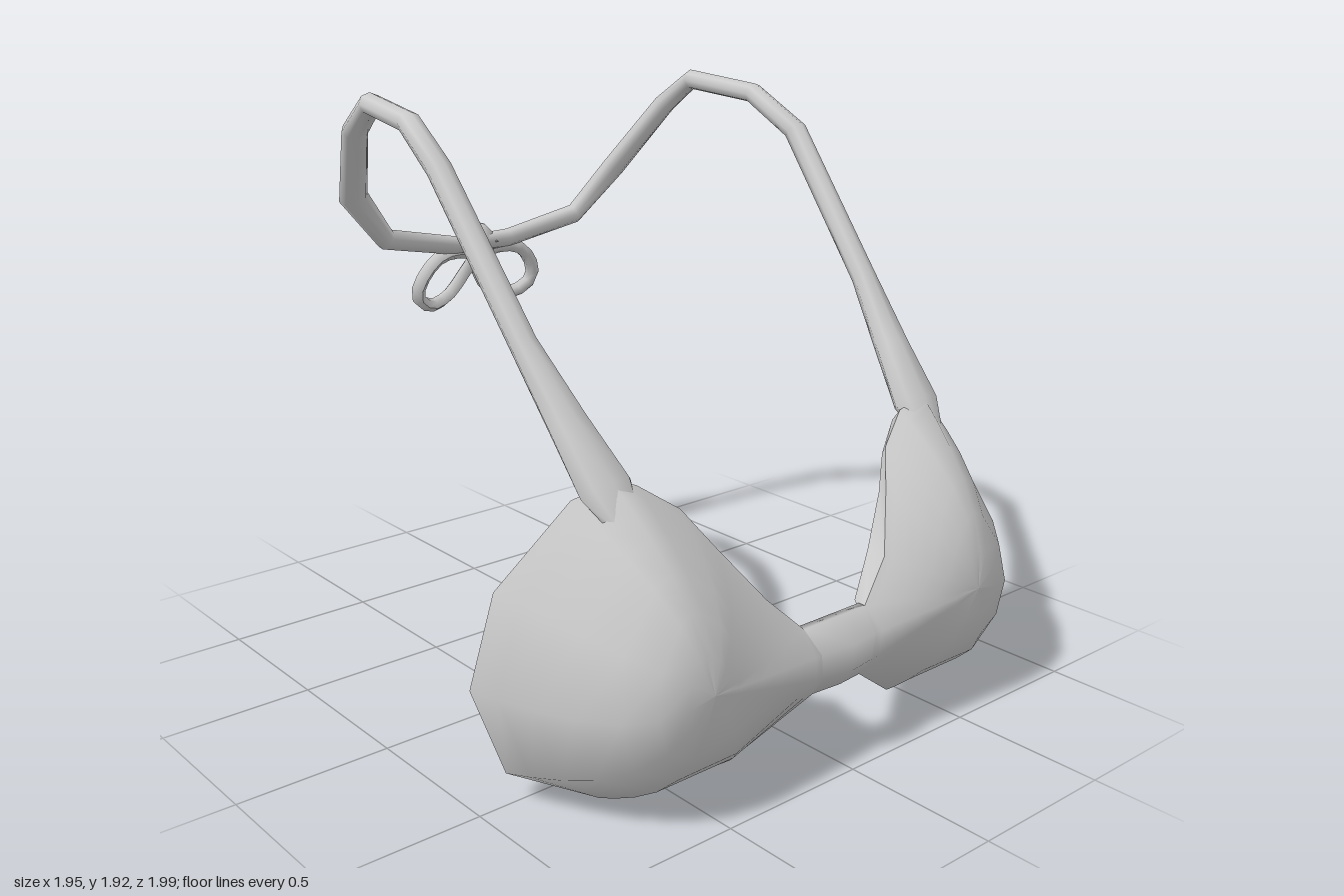
import * as THREE from 'three';

const material = new THREE.MeshStandardMaterial({ color: 0xcccccc, side: THREE.DoubleSide });

// Smooth surface through rows of points; each row is a loop
function loft(rows) {
  const n = rows[0].length, index = [];
  for (let r = 0; r < rows.length - 1; r++) {
    for (let i = 0; i < n; i++) {
      const a = r * n + i, c = r * n + (i + 1) % n;
      index.push(a, a + n, c, a + n, c + n, c);
    }
  }
  const g = new THREE.BufferGeometry();
  g.setAttribute('position', new THREE.Float32BufferAttribute(rows.flat(2), 3));
  g.setIndex(index);
  g.computeVertexNormals();
  return g;
}

// Copy of a geometry reflected across x = 0
function mirror(geometry) {
  const g = geometry.clone().scale(-1, 1, 1);
  const ix = g.index.array;
  for (let i = 0; i < ix.length; i += 3) [ix[i], ix[i + 1]] = [ix[i + 1], ix[i]];
  g.computeVertexNormals();
  return g;
}

// Cup edge: x, y, z, fullness of the bulge, rim width, rim depth
const edge = [
  [0.645, 0.97, 0.66, 1.9, 0.08, 0.03],
  [0.74, 0.92, 0.60, 2.2, 0.06, 0.04],
  [0.92, 0.66, 0.48, 2.8, 0.10, 0.01],
  [0.975, 0.36, 0.43, 3.4, 0.11, 0.005],
  [0.90, 0.10, 0.49, 3.2, 0.09, 0.02],
  [0.68, 0.005, 0.64, 3.3, 0.06, 0.06],
  [0.35, 0.08, 0.82, 2.8, 0.045, 0.06],
  [0.10, 0.255, 0.92, 1.7, 0.01, 0.05],
  [0.105, 0.32, 0.965, 1.3, 0.01, 0.05],
  [0.115, 0.40, 0.965, 1.3, 0.01, 0.05],
  [0.13, 0.465, 0.905, 1.7, 0.01, 0.05],
  [0.25, 0.58, 0.87, 2.0, 0.015, 0.08],
  [0.36, 0.74, 0.77, 2.2, 0.025, 0.04],
  [0.43, 0.85, 0.70, 2.2, 0.03, 0.02],
  [0.55, 0.935, 0.65, 2.1, 0.04, 0.03],
];
const steps = [0, 0.06, 0.14, 0.25, 0.4, 0.58, 0.78, 1];

// Shell from an edge loop to its apex
function shell(loop, apex) {
  return steps.map(t => loop.map(([x, y, z, p]) => [
    x + (apex[0] - x) * t,
    y + (apex[1] - y) * t,
    z + (apex[2] - z) * (1 - (1 - t) ** p),
  ]));
}

function cupGeometries() {
  const apex = [0.56, 0.43, 0.995];
  const inner = edge.map(([x, y, z, p, width, depth]) => {
    const k = width / Math.hypot(apex[0] - x, apex[1] - y);
    return [x + (apex[0] - x) * k, y + (apex[1] - y) * k, z - depth, p];
  });
  const xyz = q => q.slice(0, 3);
  return {
    cupOuter: loft(shell(edge, apex)),
    cupLining: loft(shell(inner, [0.56, 0.43, 0.96]).reverse()),
    cupRim: loft([inner.map(xyz), edge.map(xyz)]),
  };
}

// Neck strap half: x, y, z, half width, half thickness
const strapPath = [
  [0.635, 0.84, 0.725, 0.05, 0.015],
  [0.645, 0.94, 0.635, 0.093, 0.048],
  [0.67, 1.10, 0.50, 0.068, 0.044],
  [0.70, 1.30, 0.34, 0.044, 0.037],
  [0.725, 1.75, -0.02, 0.04, 0.037],
  [0.703, 1.865, -0.21, 0.039, 0.034],
  [0.665, 1.895, -0.49, 0.039, 0.035],
  [0.65, 1.80, -0.62, 0.044, 0.037],
  [0.56, 1.555, -0.81, 0.05, 0.038],
  [0.41, 1.385, -0.865, 0.038, 0.035],
  [0.12, 1.325, -0.888, 0.034, 0.032],
  [0, 1.322, -0.89, 0.033, 0.032],
];

function strapGeometry() {
  const pts = strapPath.map(p => new THREE.Vector3(p[0], p[1], p[2]));
  const across = new THREE.Vector3(1, 0, 0), sides = 8;
  const rows = pts.map((p, i) => {
    const prev = pts[Math.max(i - 1, 0)];
    const next = i < pts.length - 1 ? pts[i + 1] : new THREE.Vector3(-prev.x, prev.y, prev.z);
    const tangent = next.clone().sub(prev).normalize();
    across.addScaledVector(tangent, -across.dot(tangent)).normalize();
    const up = across.clone().cross(tangent);
    return Array.from({ length: sides }, (_, k) => {
      const a = k / sides * Math.PI * 2;
      return p.clone()
        .addScaledVector(across, Math.cos(a) * strapPath[i][3])
        .addScaledVector(up, Math.sin(a) * strapPath[i][4]).toArray();
    });
  });
  return loft(rows);
}

// Thin curved band running from one cup edge to the other
function bridgeGeometry() {
  const front = edge.slice(7, 11).map(p => p.slice(0, 3));
  const middle = [[0, 0.26, 0.935], [0, 0.325, 0.985], [0, 0.405, 0.985], [0, 0.475, 0.92]];
  const section = (points, s) => {
    const face = points.map(([x, y, z]) => [s * x, y, z]);
    const back = face.map(([x, y, z]) => [x, y, z - 0.025]).reverse();
    return [...face, ...back];
  };
  return loft([section(front, -1), section(middle, 1), section(front, 1)]);
}

// One loop of the bow
function bowLoopGeometry() {
  const curve = new THREE.CatmullRomCurve3([
    [0.01, 1.27, -0.92], [0.08, 1.295, -0.905], [0.17, 1.285, -0.9], [0.235, 1.22, -0.91],
    [0.25, 1.15, -0.93], [0.18, 1.1, -0.958], [0.09, 1.125, -0.975], [0.03, 1.2, -0.96],
  ].map(p => new THREE.Vector3(...p)), true);
  return new THREE.TubeGeometry(curve, 16, 0.025, 6, true);
}

export function createModel() {
  const model = new THREE.Group();
  const add = (name, geometry, parent = model) => {
    const mesh = new THREE.Mesh(geometry, material);
    mesh.name = name;
    parent.add(mesh);
    return mesh;
  };

  // Mirrored halves
  const parts = { ...cupGeometries(), neckStrap: strapGeometry(), bowLoop: bowLoopGeometry() };
  for (const side of ['left', 'right']) {
    const half = new THREE.Group();
    half.name = side + 'Half';
    for (const [name, g] of Object.entries(parts)) {
      add(name, side === 'left' ? g : mirror(g), half);
    }
    // Short strap end poking out of the knot
    const s = side === 'left' ? 1 : -1;
    const end = add('knotEnd', new THREE.ConeGeometry(0.025, 0.07, 6), half);
    end.position.set(s * 0.04, 1.325, -0.88);
    end.rotation.set(Math.PI / 2, 0, -s * 0.3);
    model.add(half);
  }

  add('centreBridge', bridgeGeometry());

  // Knot at the back of the neck
  const knot = add('knot', new THREE.SphereGeometry(0.072, 8, 6));
  knot.scale.z = 0.9;
  knot.position.set(0, 1.32, -0.917);

  return model;
}
